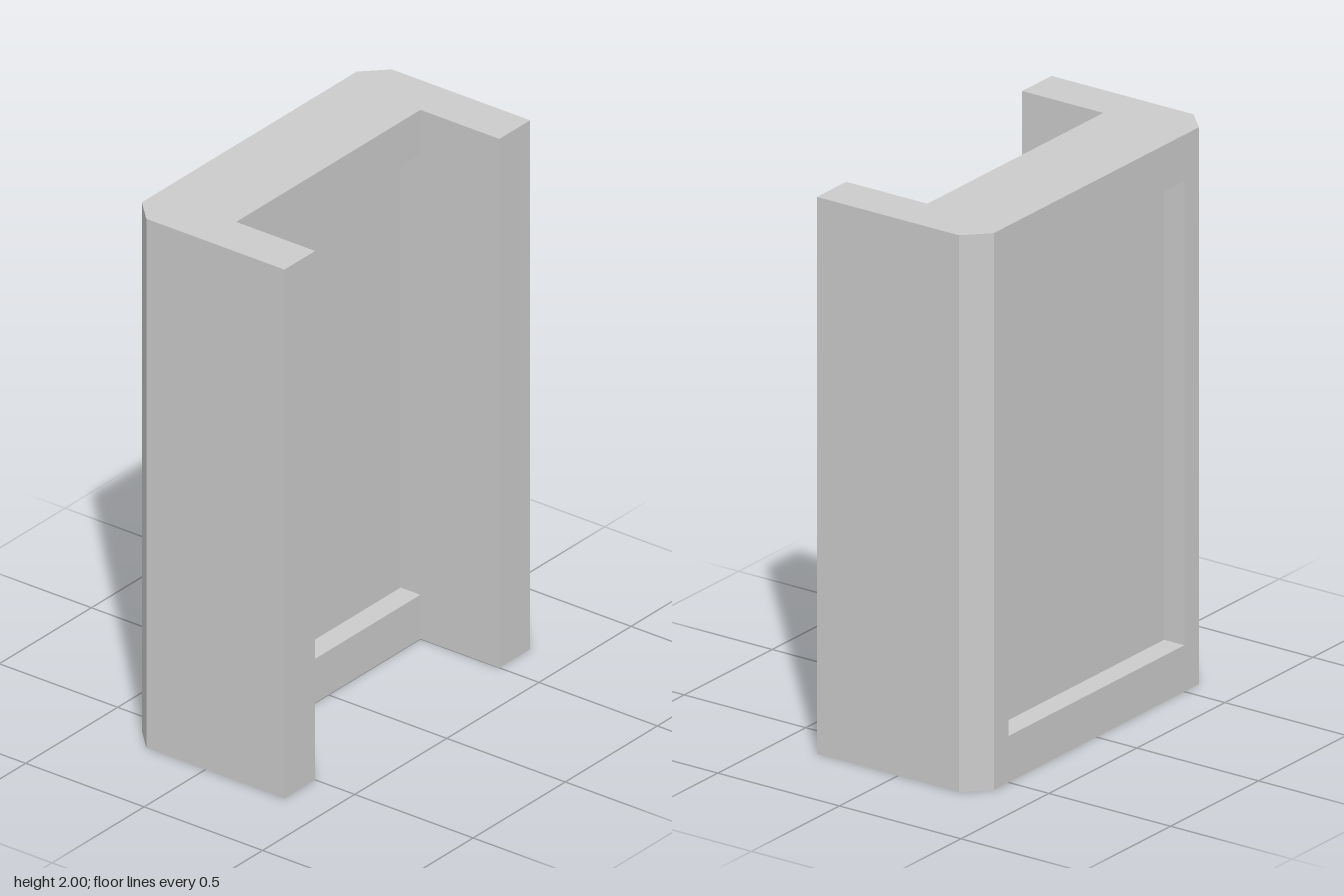
import * as THREE from 'three';

const U = 1 / 12; // one grid unit
const HEIGHT = 24 * U;
const OPEN_W = 12 * U, OPEN_H = 20 * U, OPEN_Y = 2 * U; // recessed window opening
const RECESS = U;

const material = new THREE.MeshStandardMaterial({ color: 0xcccccc, flatShading: true });

// Plan outline (x, z): chamfered back corners, two side posts reaching forward
const outline = [
  [7, -4], [-7, -4], [-8, -3], [-8, 4], [-6, 4],
  [-6, 0], [6, 0], [6, 4], [8, 4], [8, -3],
].map(([x, z]) => new THREE.Vector2(x * U, z * U));

function addMesh(parent, name, geometry) {
  const mesh = new THREE.Mesh(geometry, material);
  mesh.name = name;
  parent.add(mesh);
  return mesh;
}

function rectPoints(w, y0, y1) {
  return [[-w / 2, y0], [w / 2, y0], [w / 2, y1], [-w / 2, y1]].map(([x, y]) => new THREE.Vector2(x, y));
}

// Shallow recess behind an opening: four reveals and the sunken panel
function addRecess(parent) {
  const midY = OPEN_Y + OPEN_H / 2, q = Math.PI / 2, d = RECESS;
  addMesh(parent, 'sunkenPanel', new THREE.PlaneGeometry(OPEN_W, OPEN_H).translate(0, midY, -d));
  for (const s of [-1, 1]) {
    addMesh(parent, s < 0 ? 'sillReveal' : 'headReveal',
      new THREE.PlaneGeometry(OPEN_W, d).rotateX(s * q).translate(0, midY + s * OPEN_H / 2, -d / 2));
    addMesh(parent, 'sideReveal',
      new THREE.PlaneGeometry(d, OPEN_H).rotateY(-s * q).translate(s * OPEN_W / 2, midY, -d / 2));
  }
}

export function createModel() {
  const model = new THREE.Group();
  model.name = 'recessedPanelFrame';

  // Upright faces, one per outline edge; the two wide ones get the window opening
  outline.forEach((a, i) => {
    const b = outline[(i + 1) % outline.length];
    const width = a.distanceTo(b);
    const hasWindow = width > 0.9;
    const face = new THREE.Group();
    face.name = !hasWindow ? 'postFace' : a.y < 0 ? 'backFrame' : 'frontFrame';
    face.position.set((a.x + b.x) / 2, 0, (a.y + b.y) / 2);
    face.rotation.y = Math.atan2(a.y - b.y, b.x - a.x);
    // The front opening fills the whole width between posts, so only its rails remain
    if (hasWindow && width < OPEN_W + 0.01) {
      for (const [y0, y1] of [[0, OPEN_Y], [OPEN_Y + OPEN_H, HEIGHT]])
        addMesh(face, 'rail', new THREE.ShapeGeometry(new THREE.Shape(rectPoints(width, y0, y1))));
    } else {
      const shape = new THREE.Shape(rectPoints(width, 0, HEIGHT));
      if (hasWindow) shape.holes.push(new THREE.Path(rectPoints(OPEN_W, OPEN_Y, OPEN_Y + OPEN_H)));
      addMesh(face, 'wall', new THREE.ShapeGeometry(shape));
    }
    if (hasWindow) addRecess(face);
    model.add(face);
  });

  // Top and bottom caps
  const topShape = new THREE.Shape(outline.map(p => new THREE.Vector2(p.x, -p.y)));
  addMesh(model, 'topCap', new THREE.ShapeGeometry(topShape).rotateX(-Math.PI / 2).translate(0, HEIGHT, 0));
  addMesh(model, 'bottomCap', new THREE.ShapeGeometry(new THREE.Shape(outline)).rotateX(Math.PI / 2));

  return model;
}
